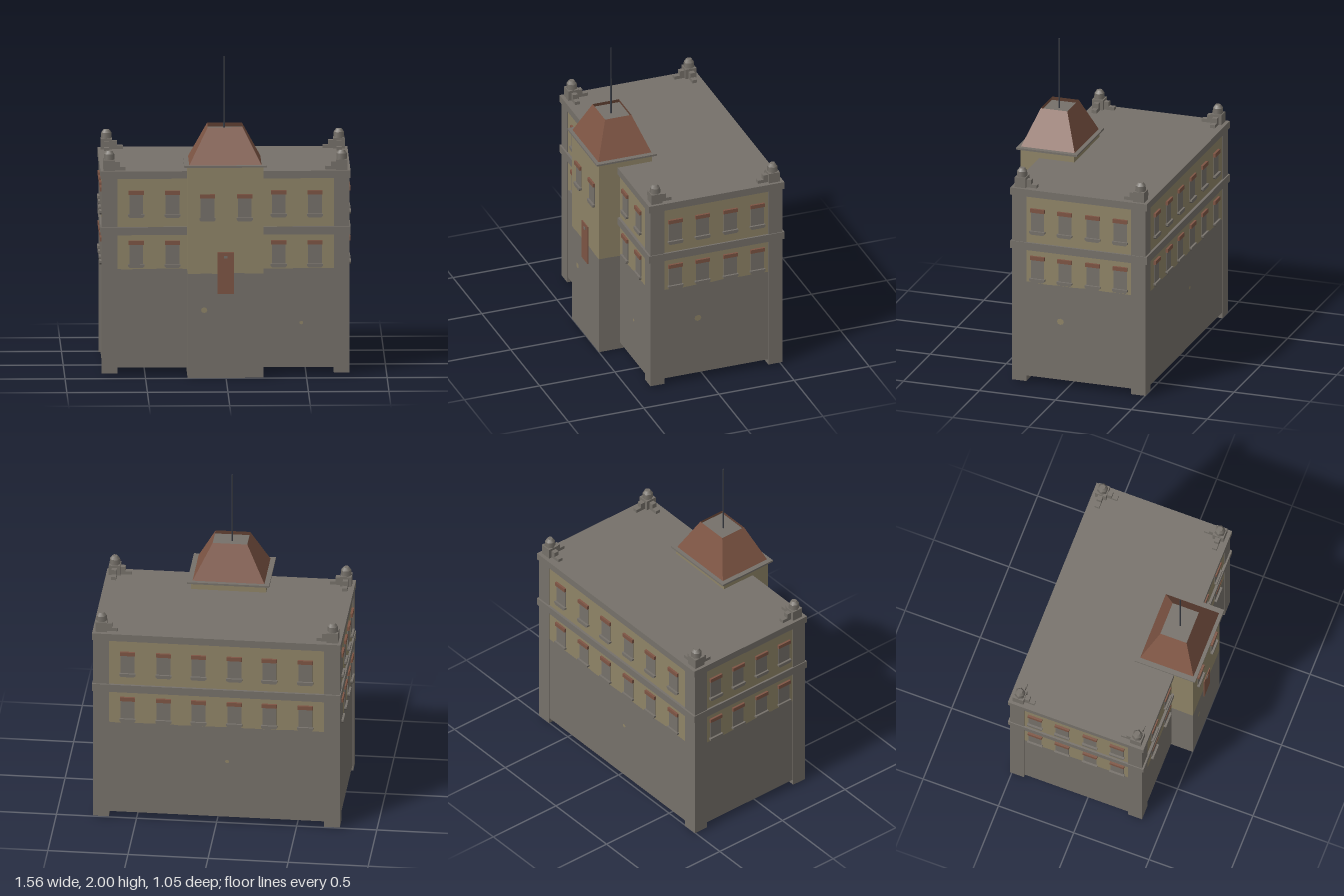
import * as THREE from 'three';

const mat = (name, color, side = THREE.FrontSide) => {
  const m = new THREE.MeshStandardMaterial({ color, side });
  m.name = name;
  return m;
};

export function createModel() {
  const D = THREE.DoubleSide;
  const stone = mat('grey stone', 0x76716a, D);
  const plaster = mat('tan plaster', 0x8f8467, D);
  const brick = mat('red brown', 0x7e5544, D);
  const iron = mat('dark iron', 0x3c3f47);

  const root = new THREE.Group();
  root.name = 'building';

  const add = (parent, name, geo, material, x = 0, y = 0, z = 0) => {
    const m = new THREE.Mesh(geo, material);
    m.name = name;
    m.position.set(x, y, z);
    parent.add(m);
    return m;
  };
  // Box given by its minimum and maximum corners
  const box = (parent, name, material, x0, x1, y0, y1, z0, z1) =>
    add(parent, name, new THREE.BoxGeometry(x1 - x0, y1 - y0, z1 - z0), material,
      (x0 + x1) / 2, (y0 + y1) / 2, (z0 + z1) / 2);
  const group = (parent, name, x = 0, y = 0, z = 0, ry = 0) => {
    const g = new THREE.Group();
    g.name = name;
    g.position.set(x, y, z);
    g.rotation.y = ry;
    parent.add(g);
    return g;
  };

  // Wall sheet: grey below and plaster above, meeting on a slightly uneven line
  const wallSheet = (parent, width, bottom, top, line) => {
    const n = 20, edge = [];
    for (let i = 0; i <= n; i++) {
      const x = -width / 2 + (width * i) / n;
      const wave = i === 0 || i === n ? 0 : 0.004 * Math.sin(x * 23) * Math.sin(x * 9 + 1);
      edge.push(new THREE.Vector2(x, line + wave));
    }
    const cap = (y) => [new THREE.Vector2(width / 2, y), new THREE.Vector2(-width / 2, y)];
    add(parent, 'lowerWall', new THREE.ShapeGeometry(new THREE.Shape([...edge, ...cap(bottom)])), stone);
    add(parent, 'upperWall', new THREE.ShapeGeometry(new THREE.Shape([...edge, ...cap(top)])), plaster);
  };

  // Window: pane, red lintel and sill that narrows downward
  const sillShape = new THREE.Shape([
    new THREE.Vector2(-0.05, 0.022), new THREE.Vector2(-0.05, 0.01), new THREE.Vector2(-0.04, 0),
    new THREE.Vector2(0.04, 0), new THREE.Vector2(0.05, 0.01), new THREE.Vector2(0.05, 0.022),
  ]);
  const sillGeo = new THREE.ExtrudeGeometry(sillShape, { depth: 0.017, bevelEnabled: false });
  const addWindow = (parent, x, y) => {
    const w = group(parent, 'window', x, y, 0);
    box(w, 'pane', stone, -0.043, 0.043, 0.015, 0.147, 0, 0.004);
    box(w, 'lintel', brick, -0.047, 0.047, 0.145, 0.17, 0, 0.014);
    add(w, 'sill', sillGeo, stone);
  };

  // Plaster patch showing through the wall
  const patch = (parent, x, y, r) => {
    const p = add(parent, 'patch', new THREE.CircleGeometry(r, 8), plaster, x, y, 0.002);
    p.scale.x = 1.1;
  };

  // Main block: four open sheets, hollow beneath
  const cz = -0.0725, hx = 0.764, hz = 0.434;
  const upper = 0.99, lower = 0.675;
  const longRow = [-0.555, -0.33, -0.112, 0.112, 0.33, 0.555];
  const outerRow = longRow.filter((x) => Math.abs(x) > 0.2);
  const shortRow = [-0.2725, -0.0925, 0.0925, 0.2725];
  const sides = [
    ['frontWall', 0, cz + hz, 0, hx * 2, outerRow, [[0.47, 0.325, 0.011]]],
    ['backWall', 0, cz - hz, Math.PI, hx * 2, longRow, [[0.066, 0.43, 0.012]]],
    ['leftWall', hx, cz, Math.PI / 2, hz * 2, shortRow, [[-0.122, 0.43, 0.021]]],
    ['rightWall', -hx, cz, -Math.PI / 2, hz * 2, shortRow, []],
  ];
  for (const [name, x, z, ry, width, row, patches] of sides) {
    const wall = group(root, name, x, 0, z, ry);
    wallSheet(wall, width, 0.045, 1.25, 0.667);
    for (const u of row) for (const y of [lower, upper]) addWindow(wall, u, y);
    for (const p of patches) patch(wall, ...p);
  }

  // Floor band: four strips around the walls
  const band = group(root, 'floorBand');
  for (const s of [-1, 1]) {
    const zi = cz + s * 0.425, zo = cz + s * 0.45;
    box(band, 'bandLong', stone, -0.776, 0.776, 0.882, 0.932, Math.min(zi, zo), Math.max(zi, zo));
    box(band, 'bandShort', stone, s > 0 ? 0.755 : -0.776, s > 0 ? 0.776 : -0.755,
      0.882, 0.932, cz - 0.425, cz + 0.425);
  }
  box(root, 'roofSlab', stone, -0.776, 0.776, 1.237, 1.284, cz - 0.45, cz + 0.45);

  // Corner pillars and the stepped finials above them
  for (const sx of [-1, 1]) for (const sz of [-1, 1]) {
    const corner = group(root, 'corner', 0, 0, cz);
    corner.scale.set(sx, 1, sz);
    box(corner, 'pillar', stone, 0.672, 0.77, 0.01, 1.25, 0.345, 0.439);
    const f = group(corner, 'finial', 0.722, 1.28, 0.39);
    box(f, 'block', stone, -0.036, 0.036, 0, 0.07, -0.036, 0.036);
    add(f, 'hexCap', new THREE.CylinderGeometry(0.032, 0.034, 0.035, 6).toNonIndexed(), stone, 0, 0.0875, 0)
      .rotation.y = Math.PI / 2;
    add(f, 'hexTop', new THREE.CylinderGeometry(0.018, 0.032, 0.02, 6), stone, 0, 0.115, 0)
      .rotation.y = Math.PI / 2;
    box(f, 'stepHighX', stone, -0.066, -0.036, 0, 0.055, -0.016, 0.016);
    box(f, 'stepLowX', stone, -0.102, -0.066, 0, 0.025, -0.016, 0.016);
    box(f, 'stepHighZ', stone, -0.016, 0.016, 0, 0.055, -0.066, -0.036);
    box(f, 'stepLowZ', stone, -0.016, 0.016, 0, 0.025, -0.102, -0.066);
  }

  // Tower
  const tower = group(root, 'tower', -0.004, 0, 0.325);
  const tw = 0.47, td = 0.354, th = 1.335;
  const front = group(tower, 'towerFront', 0, 0, td / 2);
  wallSheet(front, tw, 0.003, th, 0.66);
  for (const x of [-0.112, 0.12]) addWindow(front, x, upper);
  patch(front, -0.132, 0.43, 0.018);
  box(front, 'door', brick, -0.048, 0.052, 0.533, 0.795, 0, 0.006);
  box(front, 'doorPlate', stone, -0.01, 0.014, 0.755, 0.773, 0.004, 0.009);
  for (const s of [-1, 1])
    wallSheet(group(tower, 'towerSide', (s * tw) / 2, 0, 0, (s * Math.PI) / 2), td, 0.003, th, 0.66);
  add(tower, 'towerBack', new THREE.PlaneGeometry(tw, th), plaster, 0, th / 2, -td / 2).rotation.y = Math.PI;
  add(tower, 'towerFloor', new THREE.PlaneGeometry(tw, td), stone, 0, 0.003, 0).rotation.x = Math.PI / 2;
  box(tower, 'eaves', stone, -0.256, 0.256, 1.33, 1.342, -0.202, 0.199);

  // Tower roof: sloping sides, open at the top over a sunken deck
  const slope = new THREE.CylinderGeometry(1, 1, 0.225, 4, 1, true).rotateY(Math.PI / 4).toNonIndexed();
  const p = slope.attributes.position;
  for (let i = 0; i < p.count; i++) {
    const top = p.getY(i) > 0;
    p.setX(i, Math.sign(p.getX(i)) * (top ? 0.108 : 0.225));
    p.setZ(i, Math.sign(p.getZ(i)) * (top ? 0.087 : 0.177));
  }
  slope.computeVertexNormals();
  add(tower, 'towerRoof', slope, brick, 0, 1.4535, 0);
  box(tower, 'roofDeck', stone, -0.118, 0.118, 1.53, 1.54, -0.094, 0.094);

  // Flagpole in two tapering lengths
  add(tower, 'poleBase', new THREE.CylinderGeometry(0.005, 0.006, 0.22, 8), iron, -0.004, 1.645, 0.005);
  add(tower, 'poleTop', new THREE.CylinderGeometry(0.004, 0.005, 0.245, 8), iron, -0.004, 1.8775, 0.005);

  return root;
}
